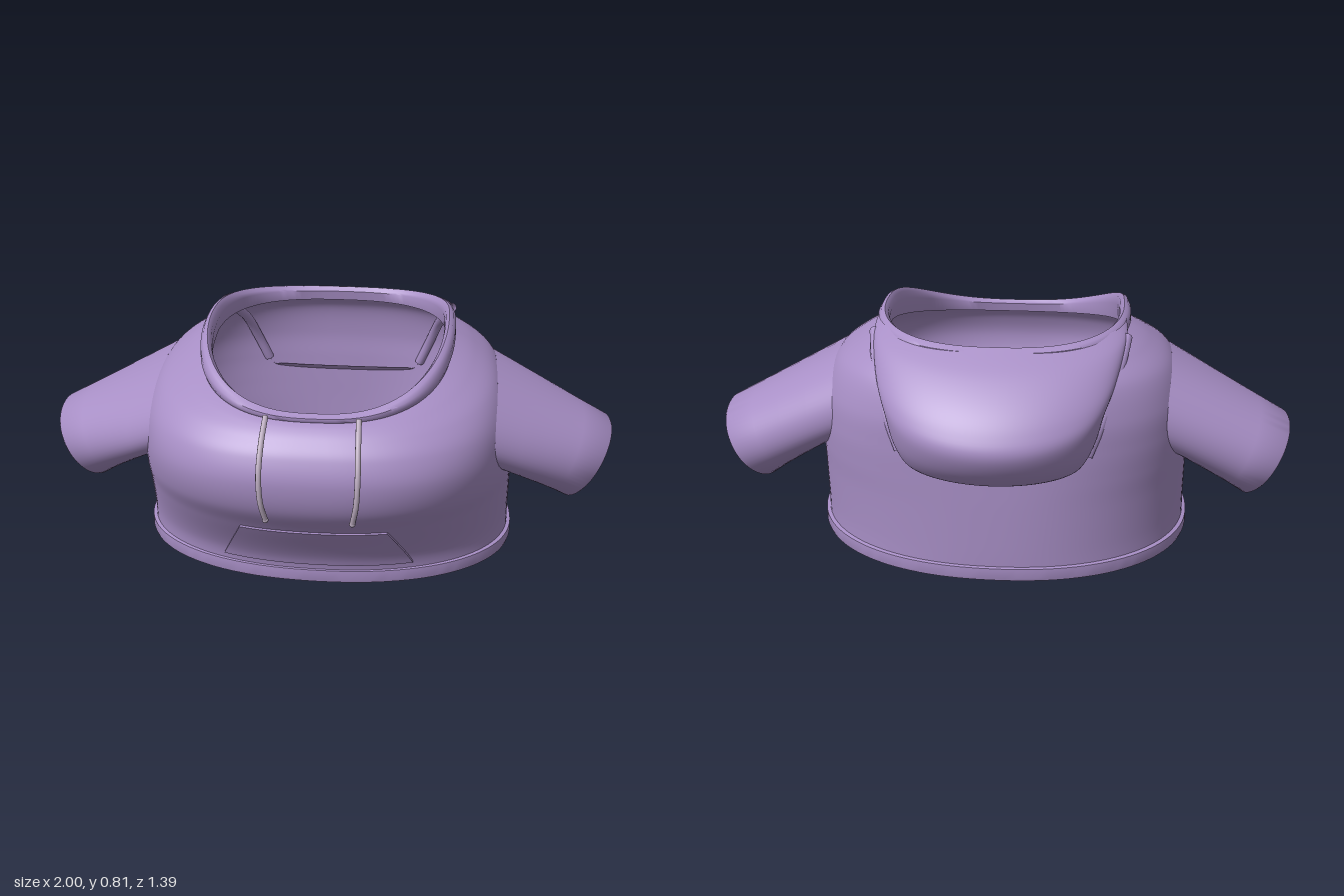
import * as THREE from 'three';
import { mergeVertices, toCreasedNormals } from 'three/addons/utils/BufferGeometryUtils.js';

const cloth = new THREE.MeshStandardMaterial({ color: 0xa88fc6, side: THREE.DoubleSide });
const cord = new THREE.MeshStandardMaterial({ color: 0xb8a9bc });
const V = (x, y, z) => new THREE.Vector3(x, y, z);

// Smooth interpolation through a list of rows at fractional index t
function rowAt(rows, t) {
  const i = Math.min(Math.floor(t), rows.length - 2), f = t - i;
  const at = (k) => rows[Math.max(0, Math.min(rows.length - 1, k))];
  return rows[i].map((b, k) => {
    const a = at(i - 1)[k], c = at(i + 1)[k], d = at(i + 2)[k];
    return b + 0.5 * f * (c - a + f * (2 * a - 5 * b + 4 * c - d + f * (3 * (b - c) + d - a)));
  });
}

// Grid surface from a function of u, v in 0..1, with optional skipped cells
function surface(name, nu, nv, fn, { skip, crease } = {}) {
  const pos = [], index = [];
  for (let j = 0; j <= nv; j++)
    for (let i = 0; i <= nu; i++) pos.push(...fn(i / nu, j / nv).toArray());
  for (let j = 0; j < nv; j++)
    for (let i = 0; i < nu; i++) {
      if (skip && skip(i / nu, j / nv, (i + 1) / nu, (j + 1) / nv)) continue;
      const a = j * (nu + 1) + i, b = a + 1, c = a + nu + 1, d = c + 1;
      index.push(a, c, b, b, c, d);
    }
  let g = new THREE.BufferGeometry();
  g.setAttribute('position', new THREE.Float32BufferAttribute(pos, 3));
  g.setIndex(index);
  g = mergeVertices(g, 1e-5);
  g.computeVertexNormals();
  if (crease) g = toCreasedNormals(g, crease);
  const mesh = new THREE.Mesh(g, cloth);
  mesh.name = name;
  return mesh;
}

// Rounded-square outline point: half width, front depth, back depth, exponent
function outline(th, w, zF, zB, n) {
  const c = Math.cos(th), s = Math.sin(th);
  const p = (k) => Math.sign(k) * Math.pow(Math.abs(k), 2 / n);
  return [w * p(c), (s > 0 ? zF : zB) * p(s), p(s)];
}

// Body rings: y front, y side, y back, half width, z front, z back depth, exponent
const BODY = [
  [0, 0, 0, 0.65, 0.45, 0.525, 2.2],
  [0.1, 0.1, 0.1, 0.648, 0.475, 0.528, 2.2],
  [0.25, 0.25, 0.25, 0.648, 0.575, 0.53, 2.3],
  [0.35, 0.35, 0.35, 0.645, 0.64, 0.53, 2.45],
  [0.45, 0.45, 0.45, 0.635, 0.66, 0.53, 2.6],
  [0.53, 0.55, 0.55, 0.62, 0.64, 0.53, 2.6],
  [0.58, 0.64, 0.66, 0.58, 0.605, 0.51, 2.5],
  [0.61, 0.705, 0.72, 0.5, 0.57, 0.46, 2.5],
  [0.63, 0.75, 0.75, 0.42, 0.53, 0.42, 2.6],
];
const LAST = BODY.length - 1;
function bodyPoint(th, t) {
  const [yF, yS, yB, w, zF, zB, n] = rowAt(BODY, t);
  const [x, z, s] = outline(th, w, zF, zB, n);
  return V(x, yS + ((s > 0 ? yF : yB) - yS) * Math.pow(Math.abs(s), 1.15), z);
}

// Armhole: an ellipse in the body's (angle, row) space, the same on both sides
const ARM = { a: -0.03, t: 4.25, ra: 0.52, rt: 1.75 };
const angle = (u) => -Math.PI / 2 + u * Math.PI * 2;
const fold = (th) => (th > Math.PI / 2 ? Math.PI - th : th);
const armDist = (th, t) => Math.hypot((fold(th) - ARM.a) / ARM.ra, (t - ARM.t) / ARM.rt);

function makeBody() {
  const inside = (u, v) => armDist(angle(u), v * LAST) < 1;
  return surface('body', 128, 72, (u, v) => {
    let th = angle(u), t = v * LAST;
    const e = Math.max(armDist(th, t), 1e-6);
    if (e < 1) { // pull onto the armhole edge
      const a = ARM.a + (fold(th) - ARM.a) / e;
      t = ARM.t + (t - ARM.t) / e;
      th = th > Math.PI / 2 ? Math.PI - a : a;
    }
    return bodyPoint(th, t);
  }, { skip: (a, b, c, d) => inside(a, b) && inside(c, b) && inside(a, d) && inside(c, d) });
}

// Sleeve from armhole to cuff, then turned inside for a lip
function makeSleeve(name, side) {
  const steps = [[0, 1], [0.25, 1], [0.5, 1], [0.75, 1], [0.985, 1.005], [1, 0.98], [1, 0.93], [0.97, 0.92], [0.7, 0.94]];
  return surface(name, 64, steps.length - 1, (u, v) => {
    const f = u * Math.PI * 2, c = Math.cos(f), s = Math.sin(f);
    const [k, r] = steps[Math.round(v * (steps.length - 1))];
    const base = bodyPoint(ARM.a + ARM.ra * c, ARM.t + ARM.rt * s);
    const cuff = V(0.92 + 0.08 * s * r, 0.287 + 0.133 * s * r, -0.045 + 0.22 * c * r);
    const p = base.lerp(cuff, k);
    p.x *= side;
    return p;
  }, { crease: 0.8 });
}

// Closed band around the garment from (outward offset, y) steps
function makeHem() {
  const steps = [[-0.02, 0.045], [-0.02, 0], [0.01, 0], [0.013, 0.01], [0.012, 0.044], [-0.004, 0.048]];
  return surface('hem', 128, steps.length - 1, (u, v) => {
    const [d, y] = steps[Math.round(v * (steps.length - 1))];
    const [x, z] = outline(angle(u), 0.65 + d, 0.452 + d, 0.525 + d, 2.2);
    return V(x, y, z);
  }, { crease: 0.7 });
}

// Collar: outward offset, height (0 neck seam to 1 rim), extra y
function makeCollar() {
  const steps = [[-0.02, 0, -0.02], [-0.026, 0.5, 0], [-0.022, 1, -0.012], [-0.01, 1, 0], [0.003, 1, -0.006],
    [0.013, 0.65, 0], [0.014, 0.3, 0], [0.008, 0.05, 0], [-0.012, 0, -0.015]];
  return surface('collar', 128, steps.length - 1, (u, v) => {
    const [d, h, dy] = steps[Math.round(v * (steps.length - 1))];
    const [x, z, s] = outline(angle(u), 0.42 + d, 0.54 + d, 0.425 + d, 2.6);
    const front = s > 0, k = Math.abs(s);
    const rim = 0.81 - (front ? 0.165 * Math.pow(k, 1.8) : 0.035 * k * k);
    const low = front ? 0.745 - 0.125 * Math.pow(k, 1.1) : 0.745;
    return V(x, low + (rim - low) * h + dy, z);
  }, { crease: 0.9 });
}

// Hanging hood rows: half width, y and z at the ends, y and z at the back middle
const HOOD = [
  [0.415, 0.8, -0.15, 0.775, -0.42],
  [0.42, 0.775, -0.21, 0.717, -0.53],
  [0.41, 0.735, -0.28, 0.645, -0.62],
  [0.385, 0.67, -0.38, 0.575, -0.675],
  [0.355, 0.6, -0.445, 0.51, -0.695],
  [0.325, 0.5, -0.485, 0.425, -0.65],
  [0.285, 0.425, -0.5, 0.37, -0.575],
  [0.25, 0.43, -0.48, 0.42, -0.5],
];
function hoodPoint(u, v) {
  const [w, yE, zE, yB, zB] = rowAt(HOOD, v * (HOOD.length - 1));
  const a = u * Math.PI, s = Math.sin(a);
  return V(w * Math.cos(a), yE + (yB - yE) * s, zE + (zB - zE) * s);
}

// Trapezoid pocket following the belly, its border sunk into the cloth
function makePocket() {
  const nu = 24, nv = 12;
  const edge = (k) => Math.min(k, 1 - k) < 1e-6;
  const inset = (k, n) => (edge(k) ? k : (Math.round(k * n) - 1) / (n - 2));
  return surface('pocket', nu, nv, (u, v) => {
    const [y, , , w, zF, , n] = rowAt(BODY, 0.78 + 1.22 * inset(v, nv));
    const half = 0.32 - 0.08 * (y - 0.075) / 0.175;
    const x = (inset(u, nu) * 2 - 1) * half;
    const z = zF * Math.pow(1 - Math.pow(Math.abs(x) / w, n), 1 / n);
    return V(x, y, z + (edge(u) || edge(v) ? -0.004 : 0.012));
  }, { crease: 0.6 });
}

function tube(name, pts, r, material) {
  const mesh = new THREE.Mesh(new THREE.TubeGeometry(new THREE.CatmullRomCurve3(pts), 32, r, 10), material);
  mesh.name = name;
  return mesh;
}

export function createModel() {
  const group = new THREE.Group();
  group.name = 'hoodedTop';
  group.add(makeBody(), makeHem(), makeCollar(), makePocket());
  group.add(surface('hood', 48, 42, hoodPoint));
  for (const [label, side] of [['left', 1], ['right', -1]]) {
    group.add(makeSleeve(label + 'Sleeve', side));
    // Folded seam where the hood meets the shoulder
    const seam = [0.2, 0.35, 0.5, 0.65, 0.8].map((v) => hoodPoint(side > 0 ? 0 : 1, v));
    group.add(tube(label + 'HoodSeam', seam, 0.018, cloth));
    // Drawstring with a rounded tip
    const string = [[0.145, 0.645, 0.565], [0.149, 0.585, 0.635], [0.152, 0.5, 0.682], [0.148, 0.41, 0.688], [0.136, 0.338, 0.668]]
      .map(([x, y, z]) => V(x * side, y, z));
    group.add(tube(label + 'Drawstring', string, 0.009, cord));
    const tip = new THREE.Mesh(new THREE.SphereGeometry(0.01, 12, 8), cord);
    tip.name = label + 'DrawstringTip';
    tip.position.copy(string[4]);
    group.add(tip);
  }
  return group;
}
